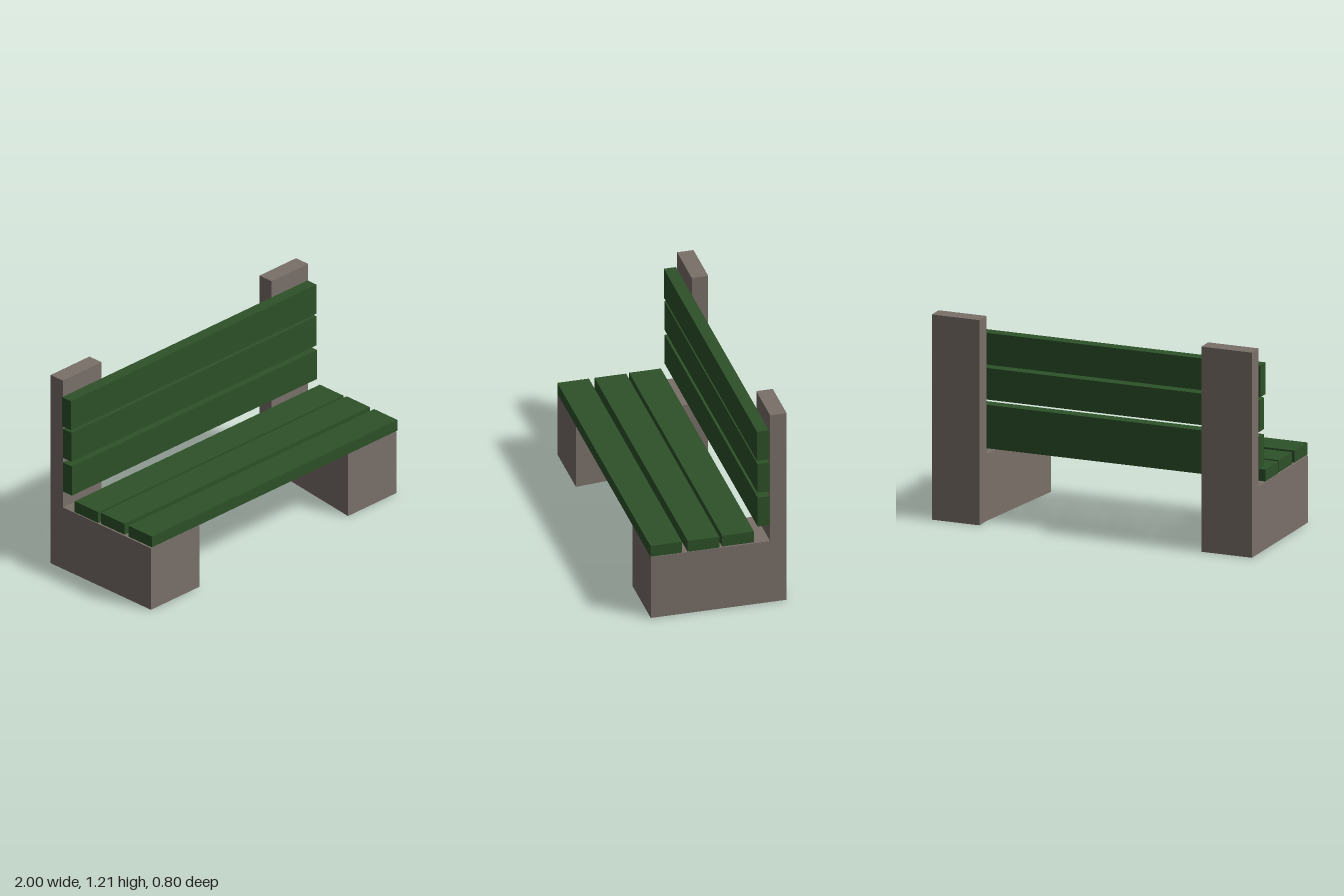
import * as THREE from 'three';

const stone = new THREE.MeshStandardMaterial({ color: 0x7a7069, flatShading: true });
const paint = new THREE.MeshStandardMaterial({ color: 0x2d5128, flatShading: true });

const OUTER = 0.99, FRONT = 0.4, BACK = -0.4, POST_FRONT = -0.303, SEAT_Y = 0.395, TOP = 1.21;

// Box given by its minimum and maximum on each axis
function block(name, material, [x0, x1], [y0, y1], [z0, z1]) {
  const mesh = new THREE.Mesh(new THREE.BoxGeometry(x1 - x0, y1 - y0, z1 - z0), material);
  mesh.position.set((x0 + x1) / 2, (y0 + y1) / 2, (z0 + z1) / 2);
  mesh.name = name;
  return mesh;
}

// Stone end: a foot that widens towards the front, and an upright post behind it
function makeSupport(name, side, innerFront, innerBack) {
  const support = new THREE.Group();
  support.name = name;

  const plan = new THREE.Shape([
    [OUTER, FRONT], [OUTER, POST_FRONT], [innerBack, POST_FRONT], [innerFront, FRONT],
  ].map(([x, z]) => new THREE.Vector2(side * x, -z)));
  const footGeometry = new THREE.ExtrudeGeometry(plan, { depth: SEAT_Y, bevelEnabled: false });
  footGeometry.rotateX(-Math.PI / 2);
  const foot = new THREE.Mesh(footGeometry, stone);
  foot.name = 'foot';

  const span = [side * innerBack, side * OUTER].sort((a, b) => a - b);
  support.add(foot, block('post', stone, span, [0, TOP], [BACK, POST_FRONT]));
  return support;
}

export function createModel() {
  const bench = new THREE.Group();
  bench.name = 'bench';
  bench.add(makeSupport('leftSupport', 1, 0.6, 0.695));
  bench.add(makeSupport('rightSupport', -1, 0.6, 0.677));

  // Seat planks, front to back, each laid slightly unevenly
  [
    [[-0.985, 0.995], [0.217, 0.403]],
    [[-0.985, 0.995], [-0.002, 0.184]],
    [[-0.99, 0.988], [-0.208, -0.021]],
  ].forEach(([x, z], i) => bench.add(block(`seatPlank${i + 1}`, paint, x, [0.4, 0.47], z)));

  // Backrest planks, bottom to top
  [
    [[-0.99, 0.987], [0.498, 0.685], [-0.3, -0.23]],
    [[-0.992, 0.985], [0.716, 0.902], [-0.3, -0.23]],
    [[-1, 0.98], [0.922, 1.109], [-0.299, -0.228]],
  ].forEach(([x, y, z], i) => bench.add(block(`backPlank${i + 1}`, paint, x, y, z)));

  return bench;
}
